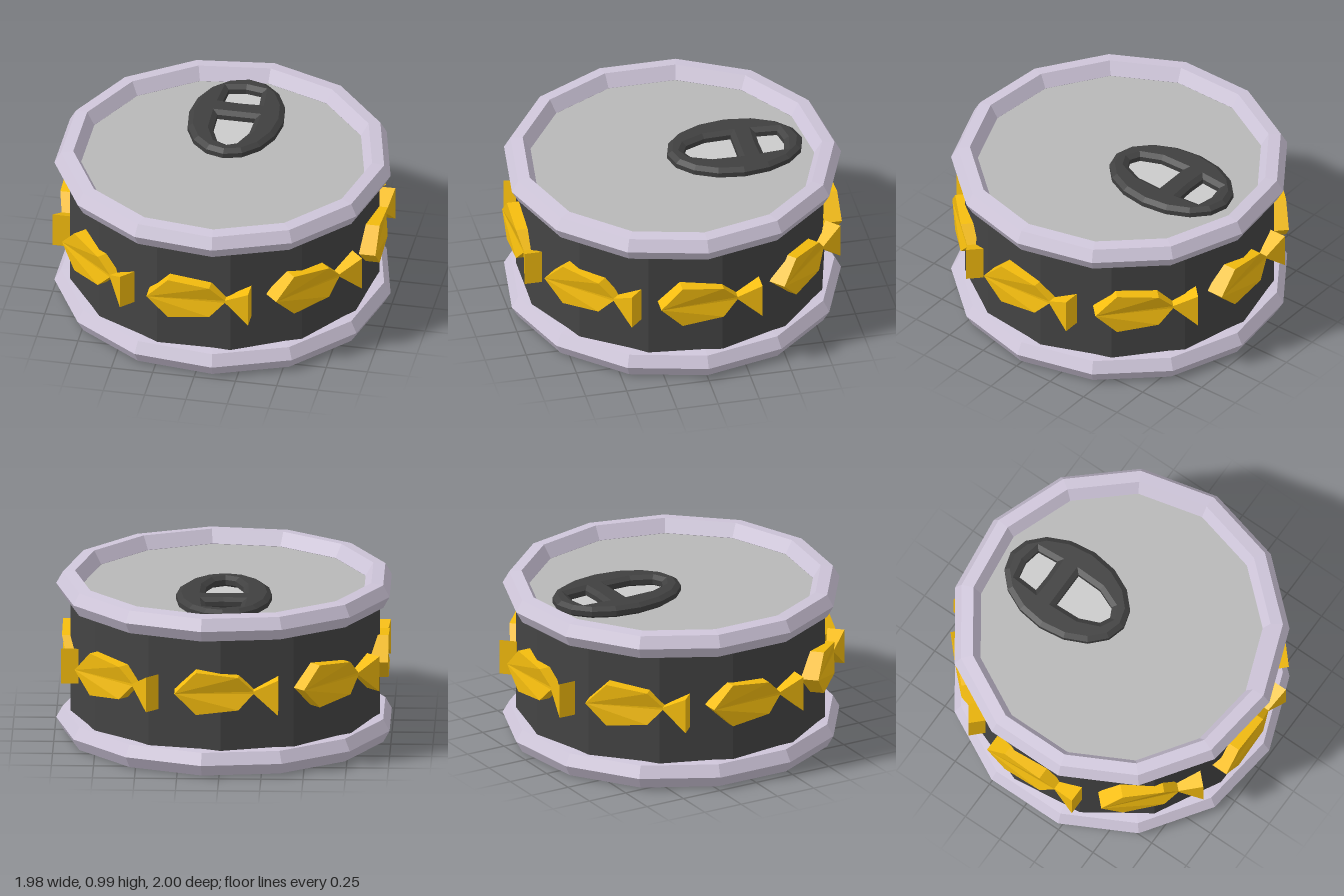
import * as THREE from 'three';

const SIDES = 13;
const paint = (color) => new THREE.MeshStandardMaterial({ color, flatShading: true });
const rimPaint = paint(0xcfc6da);
const bodyPaint = paint(0x444444);
const lidPaint = paint(0xb8b8b8);
const tabPaint = paint(0x404040);
const fishPaint = paint(0xf5bd0e);
const holePaint = paint(0xffffff);

function add(parent, name, geometry, material, y = 0) {
  const mesh = new THREE.Mesh(geometry, material);
  mesh.name = name;
  mesh.position.y = y;
  parent.add(mesh);
  return mesh;
}

const points = (list) => list.map(([x, y]) => new THREE.Vector2(x, y));

// Chunky ring with a six-sided section
function rimGeometry() {
  const section = points([
    [0.848, 0], [0.895, -0.078], [0.968, -0.07], [1.007, 0],
    [0.968, 0.07], [0.895, 0.078], [0.848, 0],
  ]);
  return new THREE.LatheGeometry(section, SIDES, Math.PI / 2);
}

// Oval pull tab with two finger holes, lying flat
function tabGeometry() {
  const oval = [];
  for (let i = 0; i < 16; i++) {
    const a = (i / 16) * Math.PI * 2;
    oval.push([0.285 * Math.cos(a), 0.38 + 0.41 * Math.sin(a)]);
  }
  const shape = new THREE.Shape(points(oval));
  shape.holes.push(
    new THREE.Path(points([[-0.11, 0.53], [-0.1, 0.66], [0, 0.68], [0.1, 0.66], [0.11, 0.53], [0, 0.525]])),
    new THREE.Path(points([[-0.115, 0.38], [0.115, 0.38], [0.11, 0.22], [0.06, 0.1], [0, 0.07], [-0.06, 0.1], [-0.11, 0.22]])),
  );
  const geometry = new THREE.ExtrudeGeometry(shape, {
    depth: 0.03, bevelEnabled: true, bevelThickness: 0.02, bevelSize: 0.03, bevelOffset: -0.03, bevelSegments: 1,
  });
  return geometry.rotateX(-Math.PI / 2);
}

// Angular fish plate, thinner where the tail joins
function fishGeometry() {
  const shape = new THREE.Shape(points([
    [-0.28, 0], [-0.15, -0.13], [0.1, -0.1], [0.19, -0.005],
    [0.335, -0.13], [0.335, 0.085], [0.19, 0.01], [0.1, 0.1], [-0.15, 0.13],
  ]));
  const depth = 0.105;
  const geometry = new THREE.ExtrudeGeometry(shape, { depth, bevelEnabled: false });
  const p = geometry.attributes.position;
  for (let i = 0; i < p.count; i++) {
    if (Math.abs(p.getX(i) - 0.19) < 0.02) p.setZ(i, depth / 2 + (p.getZ(i) - depth / 2) * 0.5);
  }
  geometry.computeVertexNormals();
  return geometry;
}

export function createModel() {
  const model = new THREE.Group();
  model.name = 'tinCan';
  const can = new THREE.Group();
  can.name = 'can';
  can.position.x = -0.0147;
  model.add(can);

  // Wall of the can, turned slightly against the rims
  const turn = Math.PI / 2 + 0.113;
  add(can, 'body', new THREE.CylinderGeometry(0.925, 0.925, 0.82, SIDES, 1, true, turn), bodyPaint, 0.493);

  // Lid and base, set inside the rims
  const disc = new THREE.CylinderGeometry(0.9, 0.9, 0.01, SIDES, 1, false, Math.PI / 2);
  add(can, 'lid', disc, lidPaint, 0.9);
  add(can, 'base', disc, lidPaint, 0.083);

  const rim = rimGeometry();
  add(can, 'bottomRim', rim, rimPaint, 0.078);
  add(can, 'topRim', rim, rimPaint, 0.907);

  // Pull tab and the pale plate seen through its holes
  add(can, 'pullTab', tabGeometry(), tabPaint, 0.925);
  const plate = new THREE.CircleGeometry(1, 16).rotateX(-Math.PI / 2).scale(0.22, 1, 0.34);
  add(can, 'tabPlate', plate, holePaint, 0.909).position.z = -0.38;

  // Eight fish swimming around the wall
  const fish = fishGeometry();
  for (let i = 0; i < 8; i++) {
    const a = (i * Math.PI) / 4;
    const mesh = add(can, 'fish', fish, fishPaint, 0.515);
    mesh.position.x = 0.865 * Math.sin(a);
    mesh.position.z = 0.865 * Math.cos(a);
    mesh.rotation.y = a;
  }
  return model;
}
